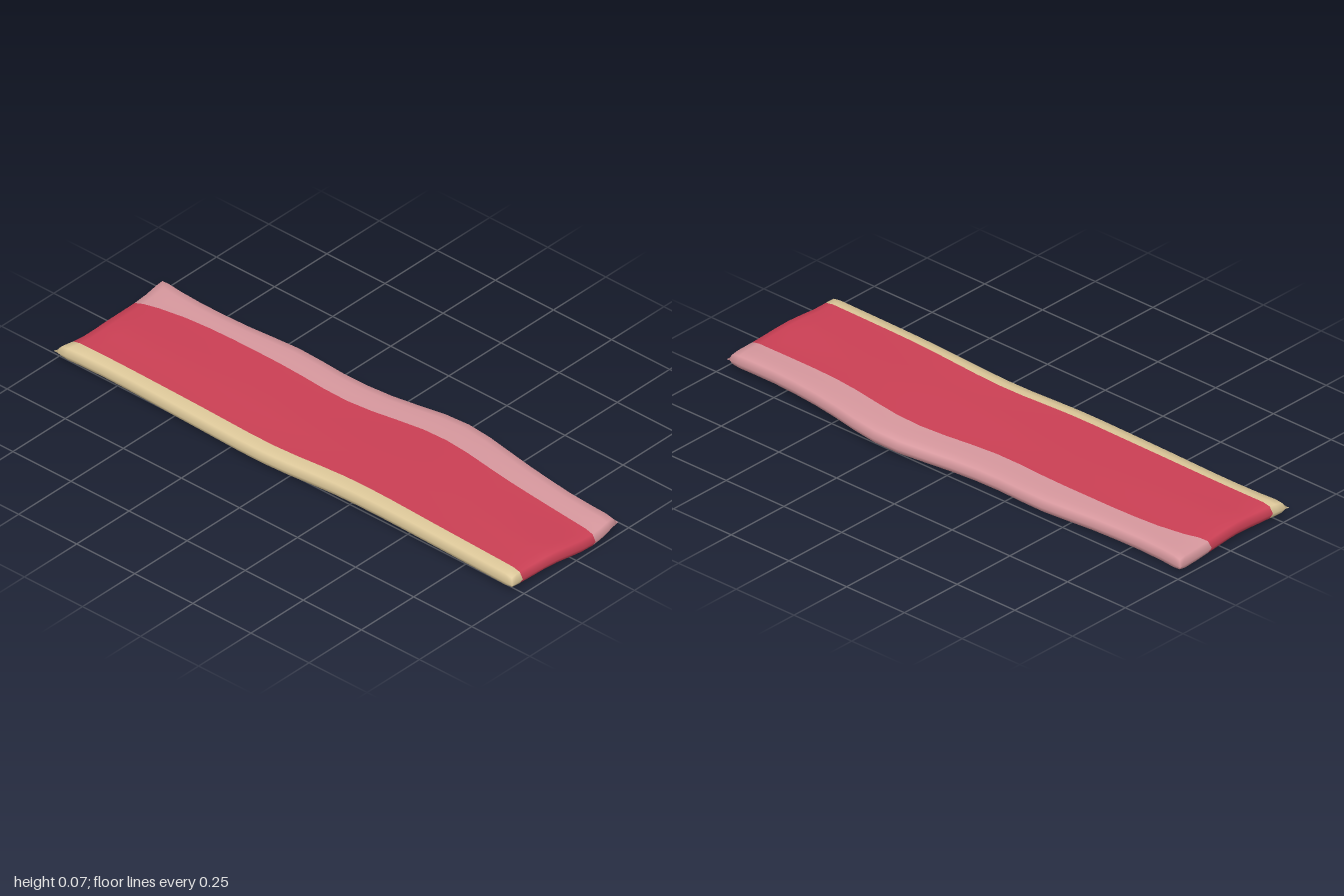
import * as THREE from 'three';

// Smooth curve through [position, value] pairs
function curve(pairs) {
  const c = new THREE.CubicInterpolant(pairs.map(p => p[0]), pairs.map(p => p[1]), 1, [0]);
  return t => c.evaluate(t)[0];
}

// Outline and strip borders: x along z
const leftEdge = curve([[-1, -0.283], [-0.85, -0.275], [-0.4, -0.285], [-0.1, -0.29], [0.2, -0.272], [0.6, -0.281], [1, -0.29]]);
const rindBorder = curve([[-1, -0.222], [-0.85, -0.22], [-0.4, -0.226], [-0.1, -0.23], [0.2, -0.211], [0.6, -0.226], [1, -0.236]]);
const fatBorder = curve([[-1, 0.07], [-0.85, 0.108], [-0.4, 0.125], [-0.1, 0.115], [0.25, 0.155], [0.6, 0.115], [1, 0.092]]);
const rightEdge = curve([[-1, 0.24], [-0.85, 0.226], [-0.6, 0.23], [-0.4, 0.247], [-0.15, 0.239], [0, 0.25], [0.27, 0.287], [0.6, 0.24], [0.8, 0.218], [1, 0.213]]);

// End outlines: z across the width
const frontEnd = curve([[0, 0.985], [0.12, 0.982], [0.75, 1], [1, 0.988]]);
const backEnd = curve([[0, -0.995], [0.12, -0.98], [0.68, -0.982], [1, -1]]);

// Gentle waves of the slice: centre height across the width at five stations
const stations = [-1, -0.5, 0, 0.5, 1];
const waves = [
  [0.042, 0.038, 0.042, 0.035, 0.036, 0.042],
  [0.039, 0.038, 0.040, 0.037, 0.037, 0.039],
  [0.037, 0.035, 0.037, 0.034, 0.035, 0.036],
  [0.048, 0.046, 0.047, 0.046, 0.046, 0.048],
  [0.046, 0.042, 0.044, 0.029, 0.031, 0.038],
].map(row => curve([0, 0.2, 0.4, 0.74, 0.85, 1].map((u, i) => [u, row[i]])));
const centreHeight = (u, z) => curve(stations.map((s, i) => [s, waves[i](u)]))(z);

// Half thickness tapers to a soft edge
const HALF = 0.0275;
const taper = d => d < 0.014 ? 0.8 * d / 0.014 : Math.min(1, 0.8 + 0.2 * (d - 0.014) / 0.03);

export function createModel() {
  const group = new THREE.Group();
  const rows = [0, 0.007, 0.022];
  for (let k = 1; k < 20; k++) rows.push(k / 20);
  rows.push(0.978, 0.993, 1);

  // Columns follow the strip borders
  const columns = z => {
    const l = leftEdge(z), a = rindBorder(z), b = fatBorder(z), r = rightEdge(z);
    const xs = [l, l + 0.014, l + 0.04, a];
    for (let k = 1; k < 6; k++) xs.push(a + (b - a) * k / 6);
    return [...xs, b, (b + r - 0.045) / 2, r - 0.045, r - 0.014, r];
  };
  const nCol = 14, nRow = rows.length;

  // Top and bottom sheets
  const points = [];
  for (const side of [1, -1]) {
    for (const t of rows) {
      const xs = columns(-1 + 2 * t);
      const l = xs[0], r = xs[nCol - 1];
      for (const x of xs) {
        const u = (x - l) / (r - l), zb = backEnd(u), zf = frontEnd(u);
        const z = zb + (zf - zb) * t;
        const h = HALF * taper(Math.min(x - l, r - x)) * taper(Math.min(z - zb, zf - z));
        points.push(x, centreHeight(u, z) + side * h, z);
      }
    }
  }

  // The two sheets share their rim vertices
  const index = (i, j, bottom) => {
    const rim = i === 0 || j === 0 || i === nCol - 1 || j === nRow - 1;
    return (bottom && !rim ? nCol * nRow : 0) + j * nCol + i;
  };
  const facesBetween = (from, to) => {
    const faces = [];
    for (let j = 0; j < nRow - 1; j++) {
      for (let i = from; i < to; i++) {
        for (const bottom of [false, true]) {
          const a = index(i, j, bottom), b = index(i + 1, j, bottom);
          const c = index(i, j + 1, bottom), d = index(i + 1, j + 1, bottom);
          if (bottom) faces.push(a, b, c, b, d, c);
          else faces.push(a, c, b, b, c, d);
        }
      }
    }
    return faces;
  };

  const whole = new THREE.BufferGeometry();
  whole.setAttribute('position', new THREE.Float32BufferAttribute(points, 3));
  whole.setIndex(facesBetween(0, nCol - 1));
  whole.computeVertexNormals();

  // Three coloured strips sharing one smooth surface
  const strips = [
    ['rind', 'tan', 0xdbc698, 0, 3],
    ['leanMeat', 'red', 0xca3f54, 3, 9],
    ['fatStrip', 'pink', 0xd6979d, 9, 13],
  ];
  for (const [name, colourName, color, from, to] of strips) {
    const geometry = new THREE.BufferGeometry();
    geometry.setAttribute('position', whole.getAttribute('position'));
    geometry.setAttribute('normal', whole.getAttribute('normal'));
    geometry.setIndex(facesBetween(from, to));
    const material = new THREE.MeshStandardMaterial({ color });
    material.name = colourName;
    const mesh = new THREE.Mesh(geometry, material);
    mesh.name = name;
    group.add(mesh);
  }
  group.name = 'meatSlice';
  return group;
}
